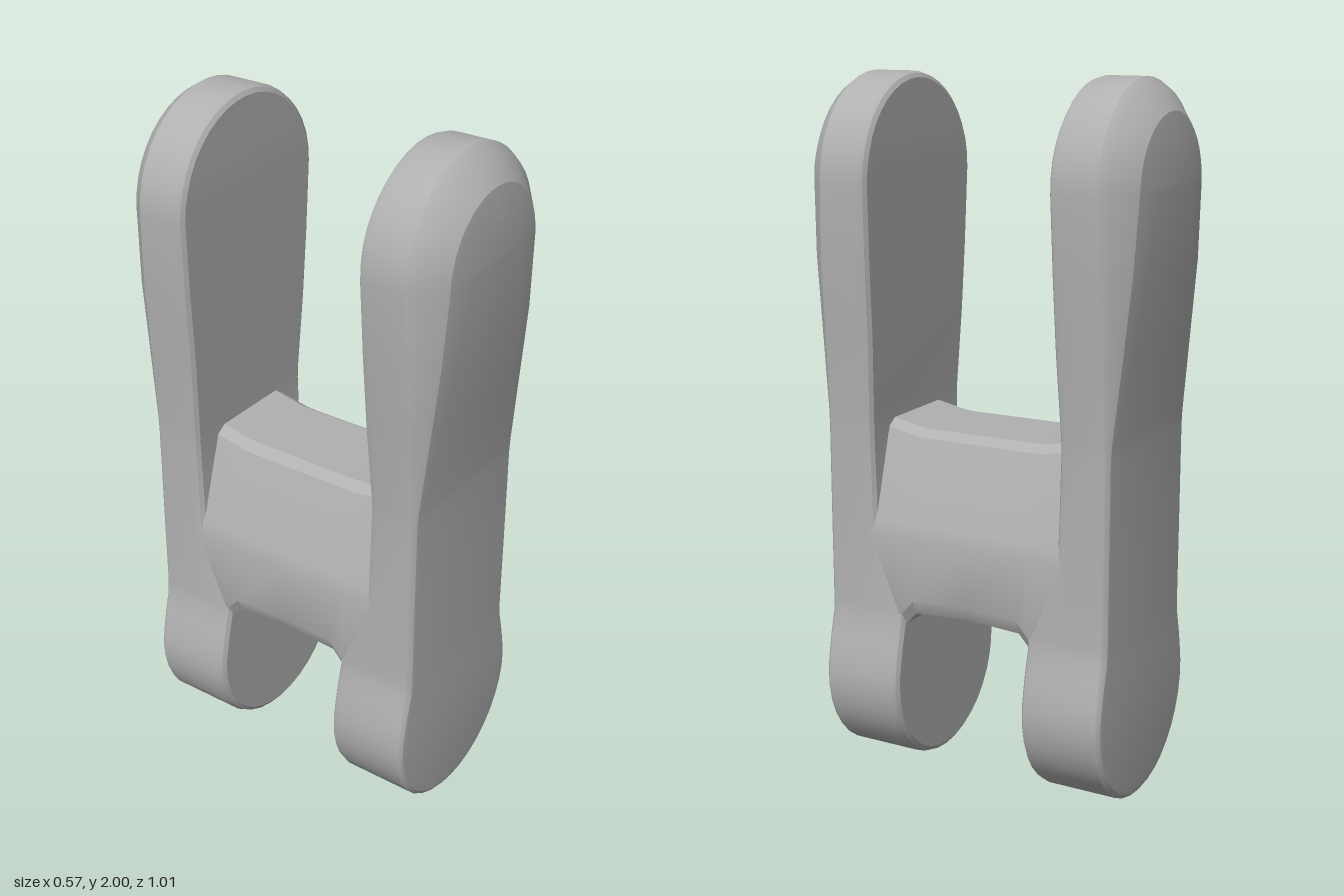
import * as THREE from 'three';
import { toCreasedNormals } from 'three/addons/utils/BufferGeometryUtils.js';

// Piecewise-linear lookup through [y, value] pairs
function ramp(pairs, y) {
  if (y <= pairs[0][0]) return pairs[0][1];
  for (let i = 1; i < pairs.length; i++) {
    const [y0, v0] = pairs[i - 1], [y1, v1] = pairs[i];
    if (y <= y1) return v0 + (v1 - v0) * (y - y0) / (y1 - y0);
  }
  return pairs[pairs.length - 1][1];
}

// Skins mirrored half-rings (points run bottom to top on +x), ordered front to back
function loft(halfRings, crease) {
  const n = halfRings[0].length, N = 2 * n - 2;
  const pos = [], idx = [];
  for (const half of halfRings) {
    for (const [x, y, z] of half) pos.push(x, y, z);
    for (let i = n - 2; i > 0; i--) pos.push(-half[i][0], half[i][1], half[i][2]);
  }
  const tri = (a, b, c) => { if (a !== b && b !== c && a !== c) idx.push(a, b, c); };
  for (let r = 0; r < halfRings.length - 1; r++) {
    for (let i = 0; i < N; i++) {
      const j = (i + 1) % N, a = r * N, b = a + N;
      tri(a + i, b + i, b + j);
      tri(a + i, b + j, a + j);
    }
  }
  // Caps are strips joining each right point to its left partner
  const last = (halfRings.length - 1) * N;
  for (let j = 0; j < n - 1; j++) {
    const l0 = (N - j) % N, l1 = N - j - 1;
    tri(j, j + 1, l1);
    tri(j, l1, l0);
    tri(last + j, last + l1, last + j + 1);
    tri(last + j, last + l0, last + l1);
  }
  const g = new THREE.BufferGeometry();
  g.setAttribute('position', new THREE.Float32BufferAttribute(pos, 3));
  g.setIndex(idx);
  return toCreasedNormals(g, crease);
}

// Half outline of an arm: round foot, straight waist, flared round head
function armOutline() {
  const R = 0.286, pts = [];
  for (let i = 0; i <= 10; i++) {
    const a = -Math.PI / 2 + (i / 10) * (Math.PI / 2 + 0.25);
    pts.push([R * Math.cos(a), R + R * Math.sin(a)]);
  }
  pts.push([0.266, 0.41], [0.25, 0.47], [0.247, 0.51], [0.247, 0.72],
    [0.246, 1.03], [0.247, 1.07], [0.262, 1.3], [0.276, 1.5]);
  for (let i = 0; i <= 10; i++) {
    const a = (i / 10) * Math.PI / 2;
    pts.push([R * Math.cos(a), 2 - R + R * Math.sin(a)]);
  }
  pts[0][0] = pts[pts.length - 1][0] = 0;
  return pts;
}

function armGeometry() {
  const outline = armOutline();
  const outer = [[0, 0.44], [1.05, 0.44], [1.3, 0.468], [1.5, 0.49], [1.7, 0.503], [2, 0.503]];
  const inner = [[0, 0.197], [0.51, 0.197], [0.72, 0.285], [1.04, 0.293], [1.3, 0.282], [1.8, 0.273], [2, 0.275]];
  const bevel = [[0, 0.15], [1.05, 0.15], [1.7, 1], [2, 1]];

  const normals = outline.map((p, i) => {
    if (i === 0) return [0, -1];
    if (i === outline.length - 1) return [0, 1];
    const a = outline[i - 1], b = outline[i + 1];
    const dx = b[0] - a[0], dy = b[1] - a[1], len = Math.hypot(dx, dy);
    return [dy / len, -dx / len];
  });
  const ring = (inset, depth, fromOuter) => outline.map(([x, y], i) => {
    const k = fromOuter ? ramp(bevel, y) : 1;
    const z = fromOuter ? ramp(outer, y) - depth * k : ramp(inner, y) + depth;
    return [x - normals[i][0] * inset * k, y - normals[i][1] * inset * k, z];
  });
  return loft([
    ring(0.17, 0, true), ring(0.085, 0.012, true), ring(0.02, 0.06, true), ring(0, 0.09, true),
    ring(0, 0.025, false), ring(0.006, 0.008, false), ring(0.018, 0, false),
  ], 0.45);
}

// Crossbar with a sloped-shoulder section and flared joints at both ends
function barGeometry() {
  const stations = [[0.33, 1.045, 0.465], [0.29, 1.04, 0.465], [0.2, 1.022, 0.465], [0.165, 1.02, 0.505], [0, 1.02, 0.515]];
  const all = [...stations, ...stations.slice(0, -1).reverse().map(([z, t, b]) => [-z, t, b])];
  return loft(all.map(([z, t, b]) => [
    [0, b, z], [0.225, b, z], [0.244, b + 0.04, z], [0.244, 0.73, z],
    [0.235, 0.77, z], [0.15, t - 0.02, z], [0.12, t, z], [0, t, z],
  ]), 0.45);
}

export function createModel() {
  const model = new THREE.Group();
  model.name = 'shackleLink';
  const grey = new THREE.MeshStandardMaterial({ color: 0xb0b0b0 });
  grey.name = 'plain grey';

  // Two matching arms, the rear one turned around
  const armGeo = armGeometry();
  for (const [name, turn] of [['frontArm', 0], ['rearArm', Math.PI]]) {
    const arm = new THREE.Mesh(armGeo, grey);
    arm.name = name;
    arm.rotation.y = turn;
    model.add(arm);
  }

  const bar = new THREE.Mesh(barGeometry(), grey);
  bar.name = 'crossbar';
  model.add(bar);
  return model;
}
